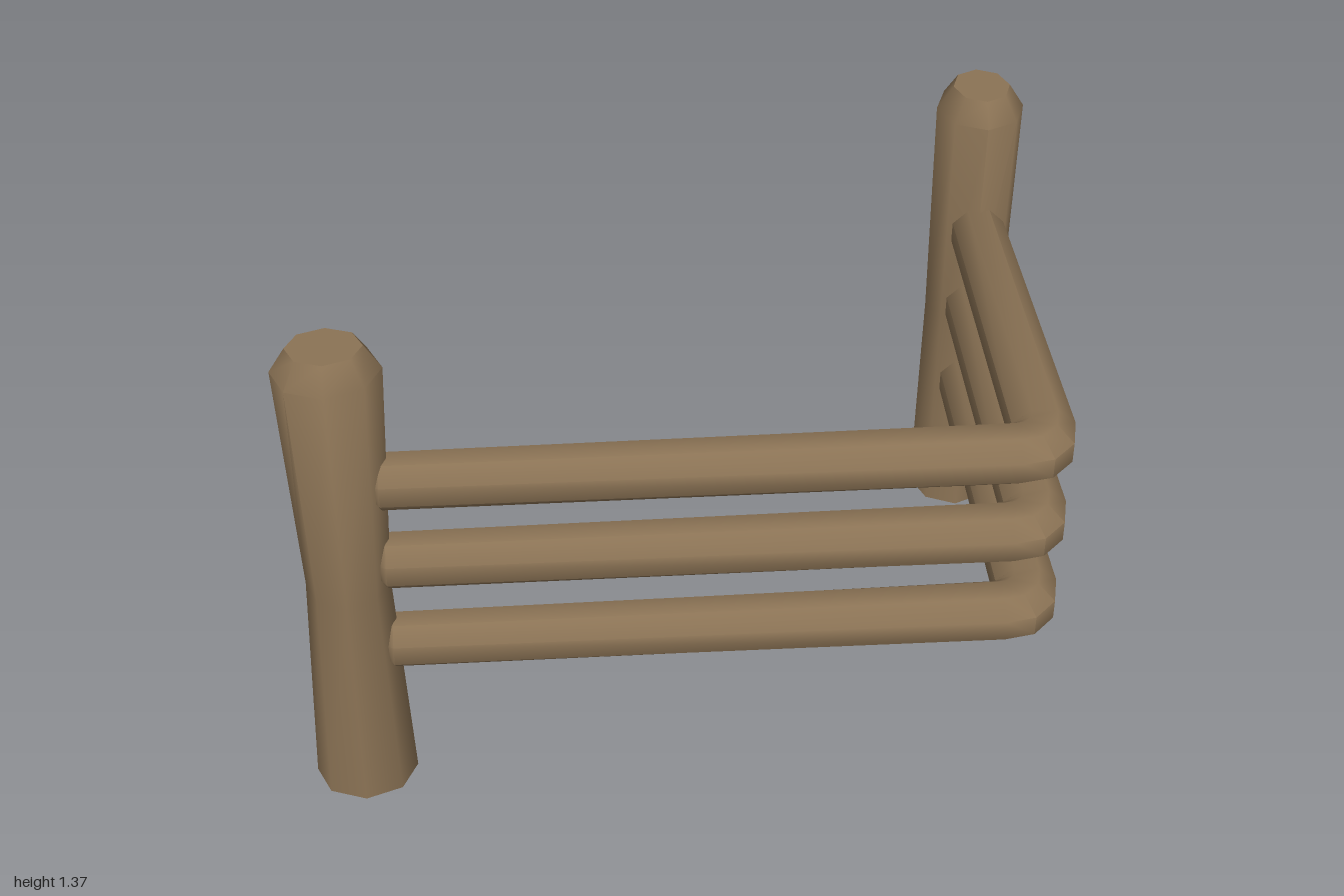
import * as THREE from 'three';
import { toCreasedNormals } from 'three/addons/utils/BufferGeometryUtils.js';

const SIDES = 8;

// Skin a list of elliptical rings { c: centre, u, v: half-axis vectors }, where u x v points along the path.
function loft(rings, phase, capStart, capEnd) {
  const pos = [], index = [];
  for (const { c, u, v } of rings) {
    for (let j = 0; j < SIDES; j++) {
      const a = ((j + phase) / SIDES) * Math.PI * 2;
      const p = c.clone().addScaledVector(u, Math.cos(a)).addScaledVector(v, Math.sin(a));
      pos.push(p.x, p.y, p.z);
    }
  }
  for (let i = 0; i < rings.length - 1; i++) {
    for (let j = 0; j < SIDES; j++) {
      const k = (j + 1) % SIDES;
      const a = i * SIDES + j, b = i * SIDES + k;
      index.push(a, b, b + SIDES, a, b + SIDES, a + SIDES);
    }
  }
  const cap = (row, flip) => {
    const centre = pos.length / 3, c = rings[row].c;
    pos.push(c.x, c.y, c.z);
    for (let j = 0; j < SIDES; j++) {
      const a = row * SIDES + j, b = row * SIDES + ((j + 1) % SIDES);
      index.push(centre, flip ? b : a, flip ? a : b);
    }
  };
  if (capStart) cap(0, true);
  if (capEnd) cap(rings.length - 1, false);
  const g = new THREE.BufferGeometry();
  g.setAttribute('position', new THREE.Float32BufferAttribute(pos, 3));
  g.setIndex(index);
  return toCreasedNormals(g, 0.95);
}

const vec = (x, y, z) => new THREE.Vector3(x, y, z);

// Waisted post with a bevelled top, open underneath: [height, wide radius, narrow radius]
function postGeometry() {
  const profile = [
    [0, 0.133, 0.12],
    [0.65, 0.106, 0.112],
    [1.3, 0.133, 0.12],
    [1.365, 0.092, 0.078],
  ];
  return loft(profile.map(([y, rx, rz]) => ({ c: vec(0, y, 0), u: vec(0, 0, rz), v: vec(rx, 0, 0) })), 0, false, true);
}

// Rail that runs along x, turns the corner and runs back along z: [inner x, inner z, outer x, outer z, half height]
function railGeometry() {
  const sections = [
    [-0.785, 0.525, -0.785, 0.62, 0.05],
    [-0.765, 0.505, -0.765, 0.64, 0.068],
    [0.795, 0.49, 0.8, 0.655, 0.068],
    [0.797, 0.49, 0.88, 0.64, 0.068],
    [0.799, 0.489, 0.94, 0.58, 0.068],
    [0.8, 0.488, 0.96, 0.495, 0.068],
    [0.807, -0.45, 0.95, -0.45, 0.068],
    [0.825, -0.47, 0.93, -0.47, 0.05],
  ];
  const fit = 1 / Math.cos(Math.PI / SIDES); // flats, not corners, meet the given widths
  return loft(sections.map(([ix, iz, ox, oz, h]) => ({
    c: vec((ix + ox) / 2, 0, (iz + oz) / 2),
    u: vec(0, h * fit, 0),
    v: vec(((ox - ix) / 2) * fit, 0, ((oz - iz) / 2) * fit),
  })), 0.5, true, true);
}

export function createModel() {
  const model = new THREE.Group();
  model.name = 'cornerFence';

  const wood = new THREE.MeshStandardMaterial({ color: 0x8b7355, side: THREE.DoubleSide });
  wood.name = 'brown wood';

  // Posts
  const post = postGeometry();
  const frontPost = new THREE.Mesh(post, wood);
  frontPost.name = 'frontPost';
  frontPost.position.set(-0.867, 0, 0.57);
  const backPost = new THREE.Mesh(post, wood);
  backPost.name = 'backPost';
  backPost.position.set(0.88, 0, -0.56);
  backPost.rotation.y = Math.PI / 2;
  model.add(frontPost, backPost);

  // Three bent rails
  const rail = railGeometry();
  [['lowerRail', 0.45], ['middleRail', 0.713], ['upperRail', 0.963]].forEach(([name, y]) => {
    const mesh = new THREE.Mesh(rail, wood);
    mesh.name = name;
    mesh.position.y = y;
    model.add(mesh);
  });

  return model;
}
